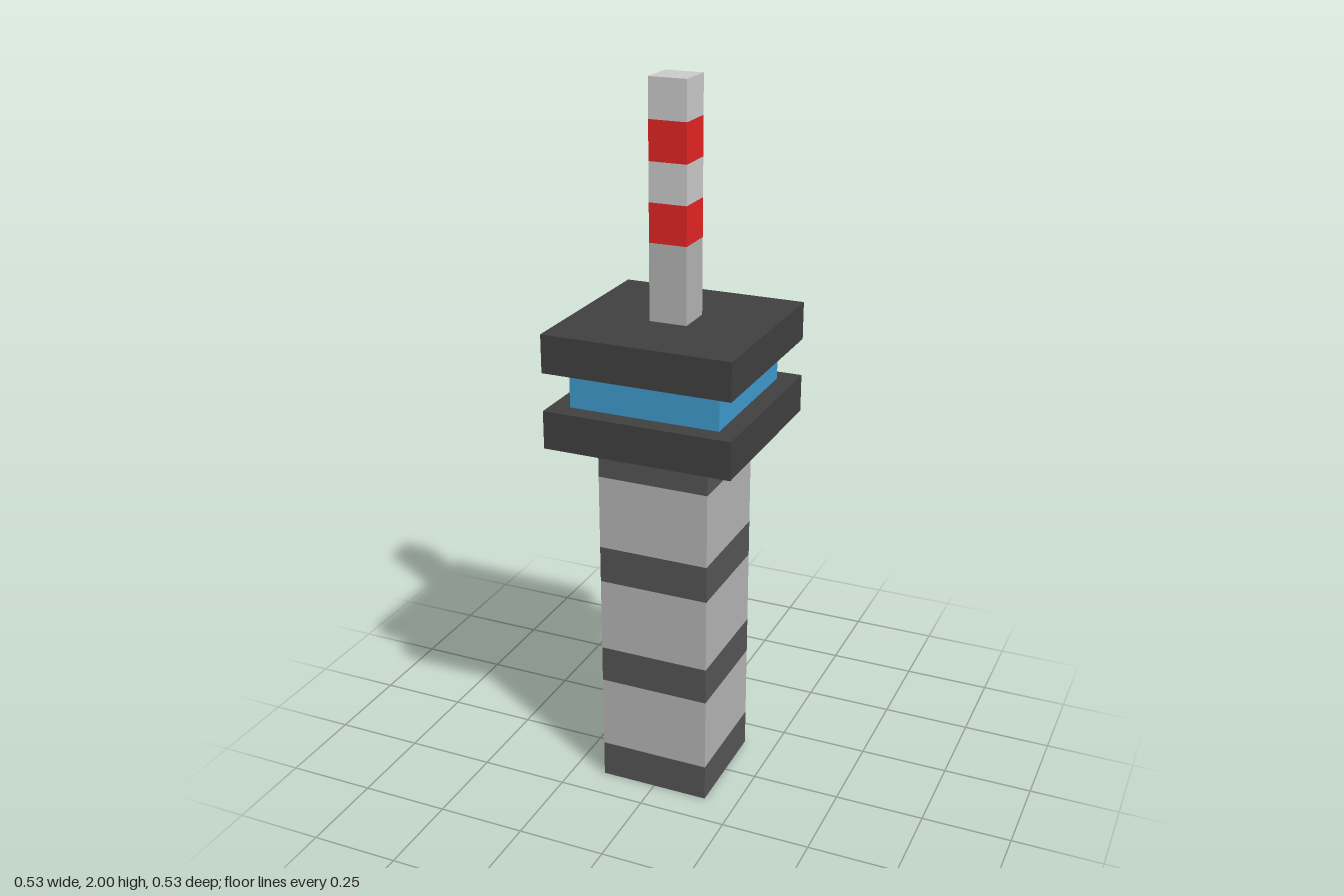
import * as THREE from 'three';

// The tower is 19 equal storeys tall.
const U = 2 / 19;

const paint = (color) => new THREE.MeshStandardMaterial({ color, flatShading: true });
const concrete = paint(0xb4b4b4);
const band = paint(0x555555);
const deck = paint(0x404040);
const glass = paint(0x3f9ace);
const red = paint(0xe42525);
const white = paint(0xc8c8c8);

// Stacks square blocks [name, width, height, material] upwards from a start storey.
function stack(name, start, blocks) {
  const group = new THREE.Group();
  group.name = name;
  let y = start;
  for (const [part, width, height, material] of blocks) {
    const mesh = new THREE.Mesh(new THREE.BoxGeometry(width * U, height * U, width * U), material);
    mesh.name = part;
    mesh.position.y = (y + height / 2) * U;
    group.add(mesh);
    y += height;
  }
  return group;
}

export function createModel() {
  const tower = new THREE.Group();
  tower.name = 'tower';

  // Shaft: dark bands alternating with concrete
  const shaft = [['shaftBand', 3, 1, band]];
  for (let i = 0; i < 3; i++) {
    shaft.push(['shaftWall', 3, 2, concrete], ['shaftBand', 3, 1, band]);
  }
  tower.add(stack('shaft', 0, shaft));

  // Observation deck with a recessed window ring
  tower.add(stack('observationDeck', 10, [
    ['deckFloor', 5, 1, deck],
    ['windows', 4, 1, glass],
    ['deckRoof', 5, 1, deck],
  ]));

  // Striped mast
  tower.add(stack('mast', 13, [
    ['mastBase', 1, 2, concrete],
    ['mastRedStripe', 1, 1, red],
    ['mastPaleStripe', 1, 1, white],
    ['mastRedStripe', 1, 1, red],
    ['mastTip', 1, 1, white],
  ]));

  return tower;
}
